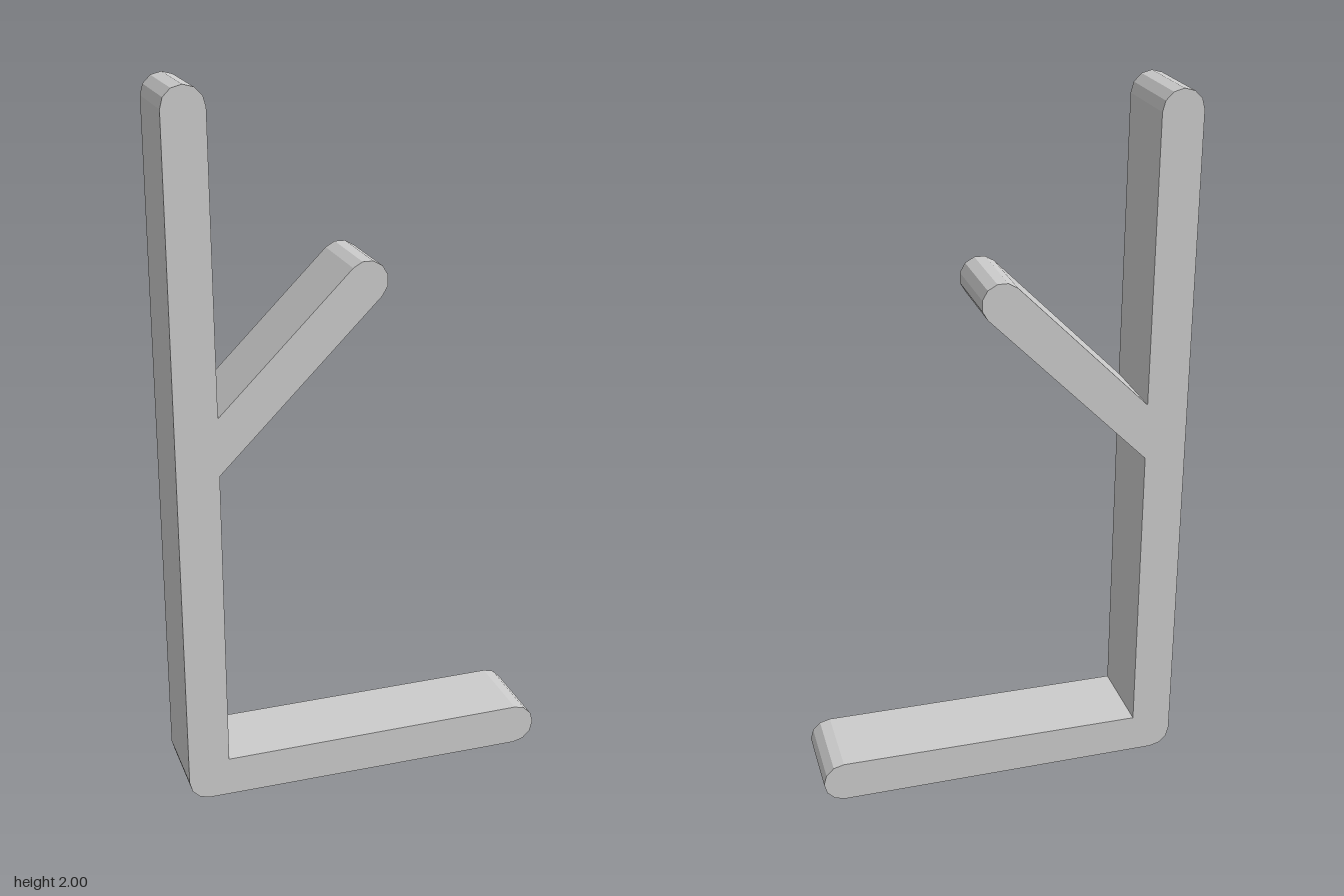
import * as THREE from 'three';

const DEPTH = 0.234;

// Points of a faceted arc, angles in degrees, counter-clockwise
function arc(cx, cy, r, from, to, segments) {
  const points = [];
  for (let i = 0; i <= segments; i++) {
    const a = THREE.MathUtils.degToRad(from + ((to - from) * i) / segments);
    points.push(new THREE.Vector2(cx + r * Math.cos(a), cy + r * Math.sin(a)));
  }
  return points;
}

export function createModel() {
  const group = new THREE.Group();
  group.name = 'hookStand';

  const grey = new THREE.MeshStandardMaterial({ color: 0xcccccc });
  grey.name = 'light grey';

  // One continuous outline: foot, post and slanted arm with rounded ends
  const outline = [
    ...arc(-0.47, 0.065, 0.058, 180, 270, 3), // heel
    ...arc(0.467, 0.06, 0.06, -90, 90, 6), // foot tip
    new THREE.Vector2(-0.412, 0.12), // inner corner
    new THREE.Vector2(-0.412, 0.983), // under the arm
    ...arc(-0.002, 1.473, 0.057, -45, 135, 6), // arm tip
    new THREE.Vector2(-0.412, 1.144), // above the arm
    ...arc(-0.472, 1.943, 0.057, 0, 180, 6), // post top
  ];

  const geometry = new THREE.ExtrudeGeometry(new THREE.Shape(outline), {
    depth: DEPTH,
    bevelEnabled: false,
  });
  geometry.translate(0, 0, -DEPTH / 2);

  const frame = new THREE.Mesh(geometry, grey);
  frame.name = 'postFootAndArm';
  group.add(frame);
  return group;
}
